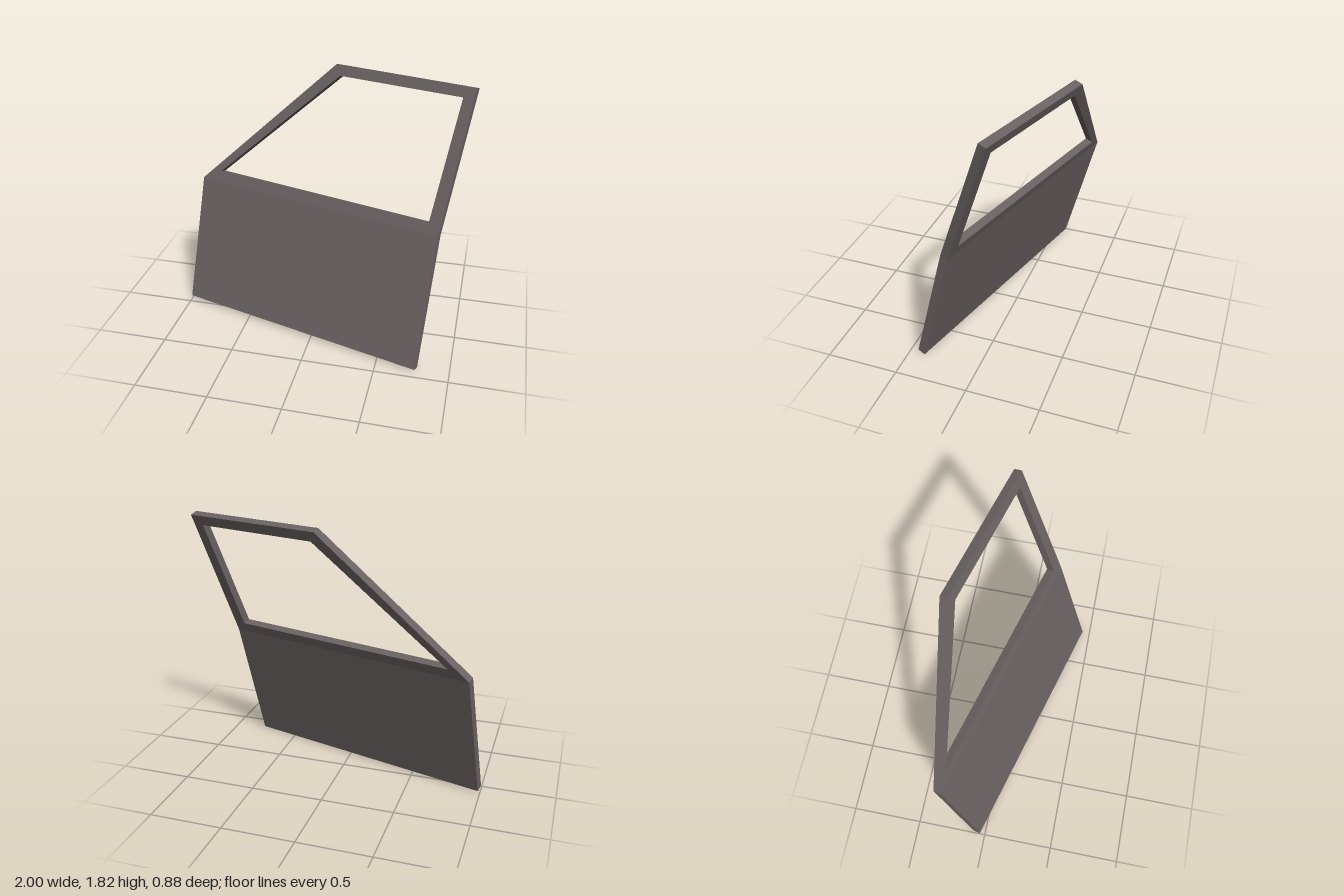
import * as THREE from 'three';

// Height of the belt line, where the door skin bends further back
const beltY = (x) => 0.917 - 0.005 * (x - 0.835);

// Depth of the outer skin: swung open around y, lower and upper halves lean differently
function skinZ(x, y) {
  const rise = y - beltY(x);
  return 0.2 + 0.271 * (x - 0.835) - (rise > 0 ? 0.41 : 0.29) * rise;
}

// Extrude a front outline, then lay it on the leaning skin with an even thickness
function slab(name, material, outline, hole) {
  const shape = new THREE.Shape(outline.map(([x, y]) => new THREE.Vector2(x, y)));
  if (hole) shape.holes.push(new THREE.Path(hole.map(([x, y]) => new THREE.Vector2(x, y))));
  const geometry = new THREE.ExtrudeGeometry(shape, { depth: 1, bevelEnabled: false });
  const p = geometry.attributes.position;
  for (let i = 0; i < p.count; i++) {
    const x = p.getX(i), y = p.getY(i), back = 1 - p.getZ(i);
    p.setXYZ(i, x + 0.014 * back, y - 0.016 * back, skinZ(x, y) - 0.051 * back);
  }
  geometry.computeVertexNormals();
  const mesh = new THREE.Mesh(geometry, material);
  mesh.name = name;
  return mesh;
}

export function createModel() {
  const group = new THREE.Group();
  group.name = 'vehicleDoor';
  const paint = new THREE.MeshStandardMaterial({ color: 0x6a6262 });
  paint.name = 'warm grey paint';

  const beltLeft = [-0.93, beltY(-0.93)];
  const beltRight = [0.838, beltY(0.838)];

  // Solid lower panel
  group.add(slab('lowerPanel', paint, [[-1, 0.026], [0.768, 0.016], beltRight, beltLeft]));

  // Window frame with slanted front pillar
  group.add(slab('windowFrame', paint,
    [beltLeft, beltRight, [0.986, 1.818], [0.038, 1.824]],
    [[-0.79, 0.993], [0.07, 1.756], [0.906, 1.752], [0.77, 0.985]]));

  return group;
}
